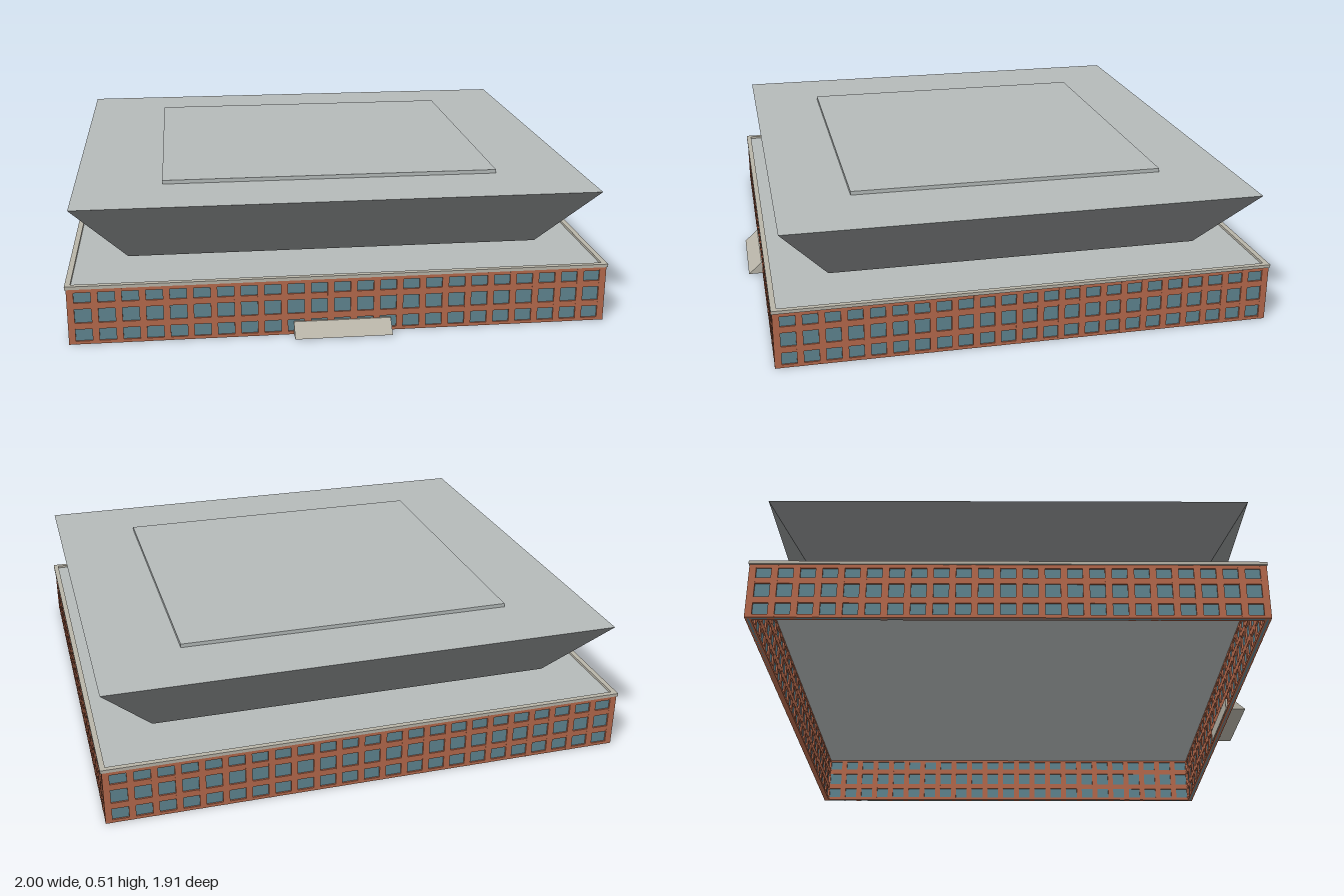
import * as THREE from 'three';

const mat = (color, extra = {}) => new THREE.MeshStandardMaterial({ color, ...extra });

export function createModel() {
  const model = new THREE.Group();
  model.name = 'pavilion';
  const roofMat = mat(0xb4bab9);
  const slopeMat = mat(0x858889, { flatShading: true });
  const glassMat = mat(0x5f8490);
  const barMat = mat(0xb5694c);
  const stoneMat = mat(0xb8b4a8, { flatShading: true });

  const box = (parent, name, w, h, d, x, y, z, m) => {
    const mesh = new THREE.Mesh(new THREE.BoxGeometry(w, h, d), m);
    mesh.position.set(x, y, z);
    mesh.name = name;
    parent.add(mesh);
    return mesh;
  };

  // Lower storey footprint
  const CZ = -0.025, HX = 0.995, HZ = 0.925, TOP = 0.215;

  // One glazed wall: recessed pane behind a lattice, outer face at local z = 0
  const makeWall = (name, length) => {
    const wall = new THREE.Group();
    wall.name = name;
    box(wall, 'glazing', length - 0.02, TOP, 0.008, 0, TOP / 2, -0.011, glassMat);
    const cells = 23, barW = 0.025, span = length - barW;
    for (let i = 0; i <= cells; i++) {
      box(wall, 'mullion', barW, TOP, 0.022, -span / 2 + (span * i) / cells, TOP / 2, -0.011, barMat);
    }
    for (const [y, h] of [[0.006, 0.012], [0.07, 0.024], [0.148, 0.024], [0.207, 0.016]]) {
      box(wall, 'transom', length, h, 0.021, 0, y, -0.011, barMat);
    }
    model.add(wall);
    return wall;
  };
  makeWall('frontWall', HX * 2).position.z = CZ + HZ;
  const back = makeWall('backWall', HX * 2);
  back.position.z = CZ - HZ;
  back.rotation.y = Math.PI;
  for (const s of [1, -1]) {
    const side = makeWall(s > 0 ? 'leftWall' : 'rightWall', HZ * 2);
    side.position.set(s * HX, 0, CZ);
    side.rotation.y = (s * Math.PI) / 2;
  }

  // Flat roof of the lower storey with a low rim
  box(model, 'lowerRoof', HX * 2 - 0.01, 0.008, HZ * 2 - 0.01, 0, 0.212, CZ, roofMat);
  for (const s of [1, -1]) {
    box(model, 'roofRim', 0.02, 0.012, HZ * 2 + 0.006, s * 0.99, 0.219, CZ, stoneMat);
    box(model, 'roofRim', 1.96, 0.012, 0.02, 0, 0.219, CZ + s * 0.918, stoneMat);
  }

  // Upper storey: box widened towards the top
  const upperGeo = new THREE.BoxGeometry(2, 0.245, 2);
  const p = upperGeo.attributes.position;
  for (let i = 0; i < p.count; i++) {
    const high = p.getY(i) > 0;
    p.setX(i, p.getX(i) * (high ? 0.975 : 0.78));
    p.setZ(i, p.getZ(i) * (high ? 0.886 : 0.705));
  }
  upperGeo.computeVertexNormals();
  const upper = new THREE.Mesh(upperGeo,
    [slopeMat, slopeMat, roofMat, slopeMat, slopeMat, slopeMat]);
  upper.position.set(0, 0.3725, CZ);
  upper.name = 'upperStorey';
  model.add(upper);

  // Raised slab on top
  box(model, 'roofSlab', 1.29, 0.015, 1.205, 0, 0.502, -0.028, roofMat);

  // Entrance ramp, a wedge passing through the front wall
  const wedge = new THREE.Shape([
    new THREE.Vector2(0.875, 0.003), new THREE.Vector2(0.955, 0.003),
    new THREE.Vector2(0.902, 0.05), new THREE.Vector2(0.875, 0.05),
  ]);
  const ramp = new THREE.Mesh(
    new THREE.ExtrudeGeometry(wedge, { depth: 0.36, bevelEnabled: false }), stoneMat);
  ramp.rotation.y = -Math.PI / 2;
  ramp.position.x = 0.18;
  ramp.name = 'entranceRamp';
  model.add(ramp);

  return model;
}
